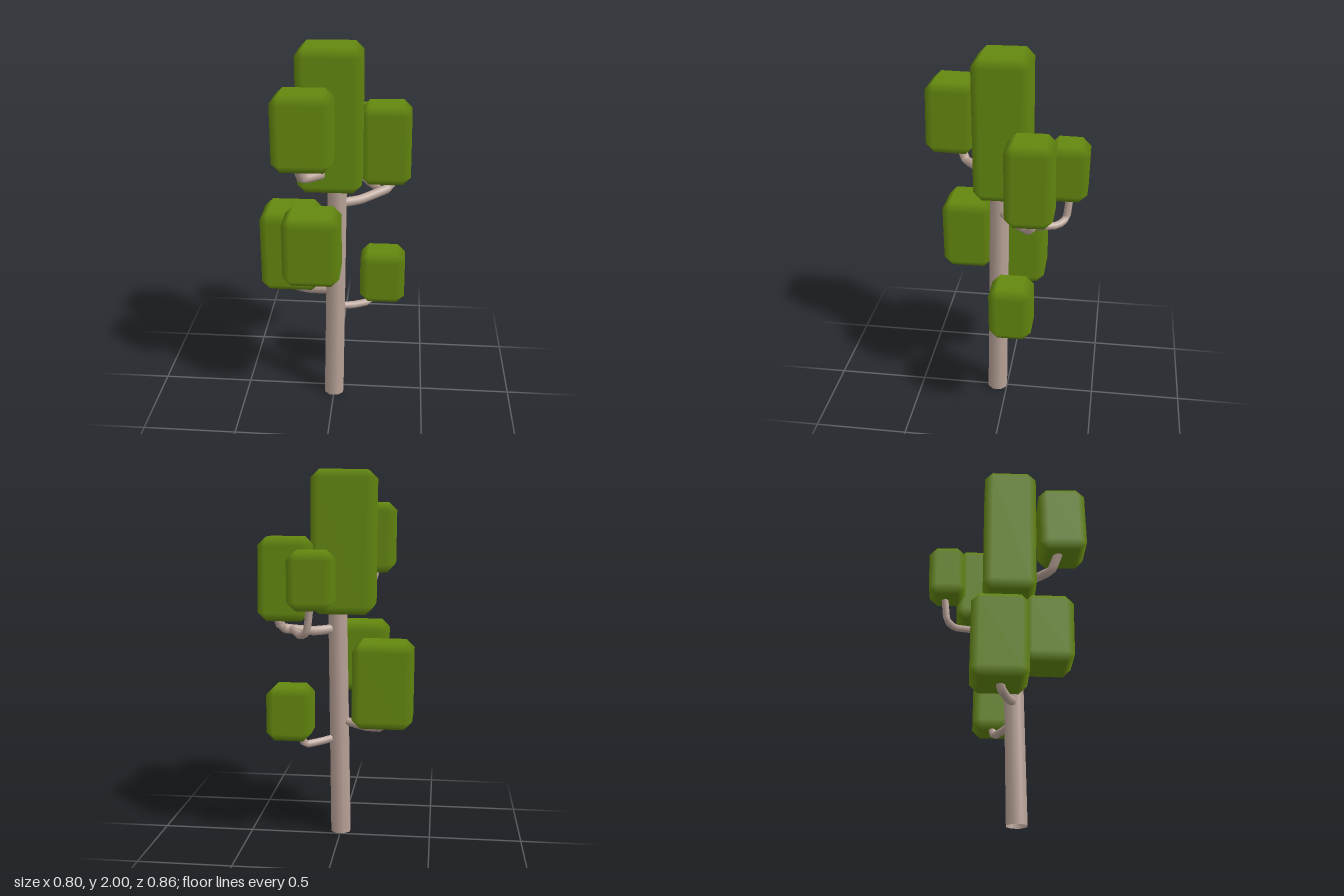
import * as THREE from 'three';
import { ConvexGeometry } from 'three/addons/geometries/ConvexGeometry.js';

const leaf = new THREE.MeshStandardMaterial({ color: 0x64880f });
const bark = new THREE.MeshStandardMaterial({ color: 0xb8a297, side: THREE.DoubleSide });

// Box with one-step bevels; the flat faces keep flat normals, the bevels blend between them
function bevelBox(w, h, d, c) {
  const half = [w / 2, h / 2, d / 2];
  const pts = [];
  for (const sx of [-1, 1]) for (const sy of [-1, 1]) for (const sz of [-1, 1])
    for (let axis = 0; axis < 3; axis++) {
      const p = [sx, sy, sz].map((s, i) => s * (half[i] - (i === axis ? 0 : c)));
      pts.push(new THREE.Vector3(...p));
    }
  const geo = new ConvexGeometry(pts);
  const pos = geo.attributes.position;
  const normal = geo.attributes.normal;
  for (let i = 0; i < pos.count; i++) {
    const p = [pos.getX(i), pos.getY(i), pos.getZ(i)];
    normal.setXYZ(i, ...p.map((v, k) => (Math.abs(Math.abs(v) - half[k]) < 1e-4 ? Math.sign(v) : 0)));
  }
  return geo;
}

// Foliage block from its limits on each axis
function foliage(name, [x0, x1], [y0, y1], [z0, z1], tiltX = 0, tiltZ = 0) {
  const mesh = new THREE.Mesh(bevelBox(x1 - x0, y1 - y0, z1 - z0, 0.044), leaf);
  mesh.position.set((x0 + x1) / 2, (y0 + y1) / 2, (z0 + z1) / 2);
  mesh.rotation.set(tiltX, 0, tiltZ);
  mesh.name = name;
  return mesh;
}

// Bent branch along a few points
function branch(name, radius, points) {
  const path = new THREE.CatmullRomCurve3(points.map((p) => new THREE.Vector3(...p)), false, 'catmullrom', 0.15);
  const mesh = new THREE.Mesh(new THREE.TubeGeometry(path, 12, radius, 7), bark);
  mesh.name = name;
  return mesh;
}

export function createModel() {
  const tree = new THREE.Group();
  tree.name = 'tree';

  // Trunk: open eight-sided tube with a slight lean
  const height = 1.32;
  const trunkGeo = new THREE.CylinderGeometry(0.053, 0.057, height, 8, 1, true);
  trunkGeo.rotateY(Math.PI / 8);
  trunkGeo.translate(0, height / 2, 0);
  const p = trunkGeo.attributes.position;
  for (let i = 0; i < p.count; i++) {
    const t = p.getY(i) / height;
    p.setXYZ(i, p.getX(i) + 0.016 * t, p.getY(i), p.getZ(i) + 0.055 - 0.02 * t);
  }
  const trunk = new THREE.Mesh(trunkGeo, bark);
  trunk.name = 'trunk';
  tree.add(trunk);

  // Branches
  tree.add(
    branch('upperFrontBranch', 0.025, [[0, 1.34, 0.06], [-0.07, 1.365, 0.17], [-0.145, 1.37, 0.245], [-0.175, 1.48, 0.29]]),
    branch('upperLeftBranch', 0.026, [[0.02, 1.16, 0.03], [0.13, 1.155, -0.04], [0.285, 1.185, -0.155], [0.31, 1.27, -0.165]]),
    branch('upperBackBranch', 0.02, [[0.24, 1.18, -0.13], [0.17, 1.165, -0.28], [0.13, 1.19, -0.325], [0.11, 1.33, -0.34]]),
    branch('lowerRightBranch', 0.024, [[0, 0.65, 0.045], [-0.14, 0.625, 0.0], [-0.235, 0.63, -0.03], [-0.26, 0.69, -0.04]]),
    branch('lowerLeftBranch', 0.021, [[0.02, 0.55, 0.04], [0.1, 0.535, 0.0], [0.185, 0.53, -0.055], [0.21, 0.6, -0.07]])
  );

  // Foliage blocks
  tree.add(
    foliage('crownFoliage', [-0.19, 0.145], [1.25, 2.0], [-0.125, 0.165], 0.005, 0.005),
    foliage('upperFrontFoliage', [-0.28, 0.015], [1.45, 1.83], [0.175, 0.43], -0.02, 0.01),
    foliage('upperLeftFoliage', [0.13, 0.398], [1.23, 1.66], [-0.272, -0.03], 0.01, 0.01),
    foliage('upperBackFoliage', [-0.01, 0.222], [1.305, 1.6], [-0.43, -0.225], -0.02, 0),
    foliage('lowerRightFoliage', [-0.4, -0.08], [0.65, 1.105], [-0.192, 0.107], 0.01, 0.005),
    foliage('lowerFrontFoliage', [-0.25, 0.046], [0.8, 1.18], [0.085, 0.35], 0.01, 0.005),
    foliage('lowerLeftFoliage', [0.14, 0.384], [0.565, 0.86], [-0.17, 0.052], 0.01, 0.005)
  );
  return tree;
}
